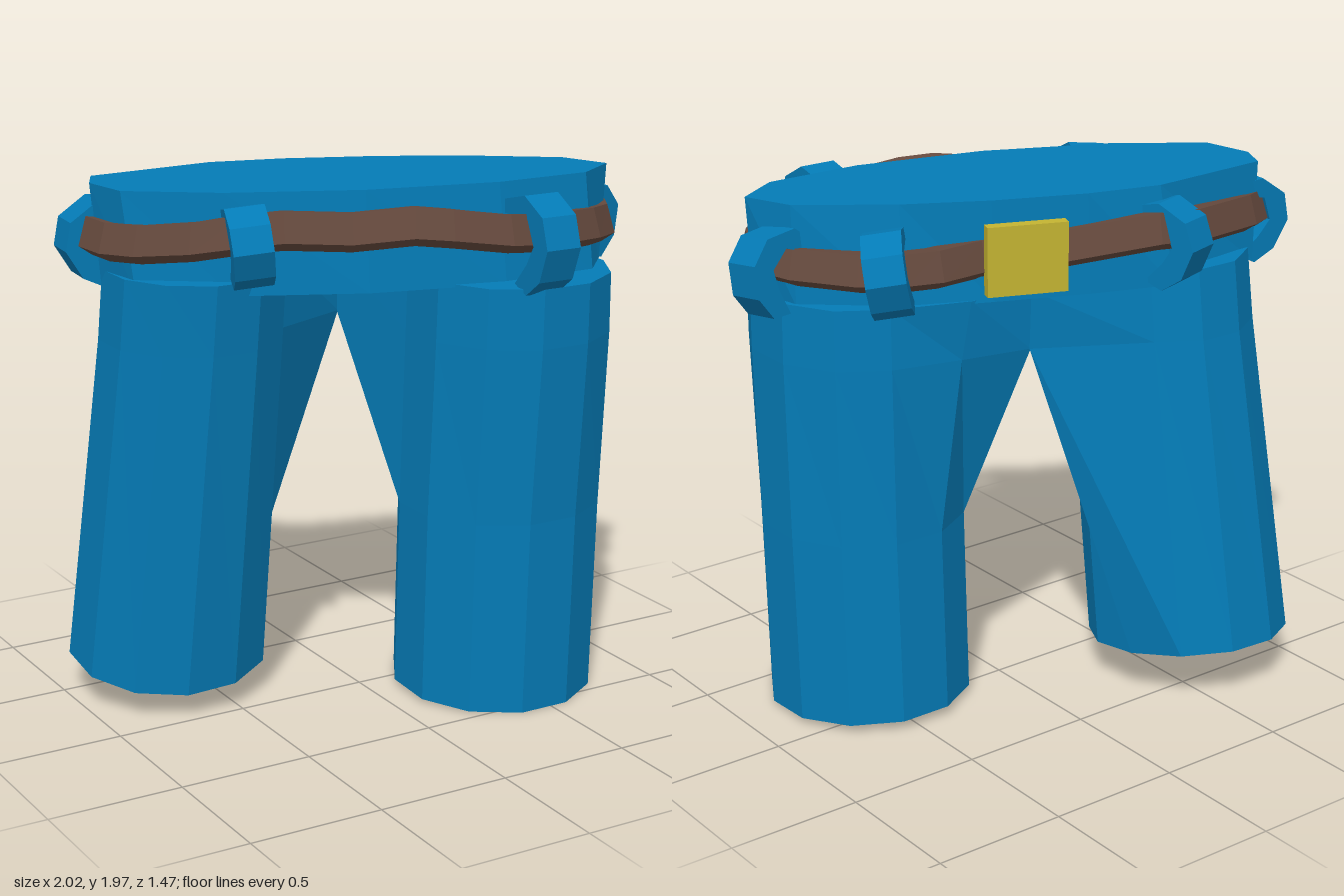
import * as THREE from 'three';

const mat = (color) => new THREE.MeshStandardMaterial({ color, flatShading: true });

// Skin a series of equal-length rings; cap the ends, or join last to first.
function loft(rings, closed = false) {
  const pos = [];
  const tri = (...pts) => pts.forEach((p) => pos.push(...p));
  const n = rings[0].length;
  const spans = closed ? rings.length : rings.length - 1;
  for (let k = 0; k < spans; k++) {
    const a = rings[k], b = rings[(k + 1) % rings.length];
    for (let i = 0; i < n; i++) {
      const j = (i + 1) % n;
      tri(a[i], b[i], b[j]);
      tri(a[i], b[j], a[j]);
    }
  }
  if (!closed) {
    const a = rings[0], b = rings[rings.length - 1];
    for (let i = 1; i < n - 1; i++) {
      tri(a[0], a[i], a[i + 1]);
      tri(b[0], b[i + 1], b[i]);
    }
  }
  const g = new THREE.BufferGeometry();
  g.setAttribute('position', new THREE.Float32BufferAttribute(pos, 3));
  g.computeVertexNormals();
  return g;
}

// Twelve-sided leg ring, tilted along x and z.
function legRing(cx, cy, cz, rx, rz, tiltX = 0, tiltZ = 0) {
  return Array.from({ length: 12 }, (_, i) => {
    const a = ((i + 0.5) / 12) * Math.PI * 2;
    const dx = rx * Math.cos(a), dz = rz * Math.sin(a);
    return [cx + dx, cy + tiltX * dx + tiltZ * dz, cz + dz];
  });
}

export function createModel() {
  const model = new THREE.Group();
  const blue = mat(0x047bb6), brown = mat(0x664a3e), yellow = mat(0xc4b432);
  const add = (name, geometry, material) => {
    const mesh = new THREE.Mesh(geometry, material);
    mesh.name = name;
    model.add(mesh);
    return mesh;
  };

  // Legs: inner corners of the upper rings are pulled back to the crotch
  const leftRings = [
    legRing(0.47, 0.022, 0.19, 0.38, 0.38, 0, -0.05),
    legRing(0.475, 0.74, 0.21, 0.38, 0.38),
    legRing(0.48, 1.4, 0.235, 0.375, 0.4),
    legRing(0.48, 1.62, 0.24, 0.37, 0.4),
  ];
  leftRings[2][7] = [0.055, 1.4, -0.26];
  leftRings[3][7] = [0.055, 1.62, -0.27];
  leftRings[2][8] = [0.32, 1.4, -0.21];
  leftRings[3][8] = [0.3, 1.62, -0.24];
  add('leftLeg', loft(leftRings), blue);

  const rightRings = [
    legRing(-0.62, 0.16, -0.38, 0.375, 0.38, 0.04, -0.16),
    legRing(-0.575, 1.4, -0.22, 0.335, 0.36),
    legRing(-0.57, 1.66, -0.19, 0.33, 0.36),
  ];
  rightRings[1][11] = [0.06, 1.4, -0.26];
  rightRings[2][11] = [0.06, 1.62, -0.27];
  add('rightLeg', loft(rightRings), blue);

  // Waist: skewed oval, slightly wider at the bottom
  const waistTop = [
    [0.87, 0.3], [0.7, 0.41], [0.33, 0.41], [-0.15, 0.3], [-0.6, 0.1], [-0.89, -0.11],
    [-0.92, -0.3], [-0.86, -0.42], [-0.37, -0.45], [-0.1, -0.38], [0.22, -0.25],
    [0.5, -0.1], [0.8, 0.12],
  ];
  const waistBottom = [
    [0.84, 0.31], [0.72, 0.44], [0.34, 0.45], [-0.15, 0.33], [-0.58, 0.13], [-0.86, -0.07],
    [-0.89, -0.29], [-0.83, -0.44], [-0.4, -0.5], [-0.1, -0.4], [0.22, -0.27],
    [0.52, -0.14], [0.8, 0.1],
  ];
  const level = (pts, y) => pts.map(([x, z]) => [x, y, z]);
  add('waist', loft([level(waistBottom, 1.61), level(waistTop, 1.97)]), blue);

  // Belt: slanted section swept around the outer edge points [x, y, z]
  const path = [
    [0.91, 1.77, 0.28], [0.85, 1.77, 0.39], [0.7, 1.79, 0.51], [0.46, 1.81, 0.61],
    [0.25, 1.83, 0.63], [0.04, 1.86, 0.58], [-0.08, 1.87, 0.52], [-0.27, 1.85, 0.42],
    [-0.48, 1.86, 0.32], [-0.62, 1.85, 0.27], [-0.78, 1.83, 0.19], [-0.9, 1.8, 0],
    [-0.96, 1.79, -0.15], [-0.97, 1.79, -0.31], [-0.91, 1.79, -0.43], [-0.8, 1.8, -0.49],
    [-0.48, 1.82, -0.57], [-0.3, 1.83, -0.55], [0.05, 1.79, -0.4], [0.27, 1.77, -0.28],
    [0.45, 1.77, -0.29], [0.58, 1.77, -0.25], [0.7, 1.76, -0.13], [0.84, 1.76, 0.08],
  ];
  const section = [[-0.03, 0.065], [0, -0.04], [-0.05, -0.075], [-0.125, 0.05]];
  const beltRings = path.map(([x, y, z], i) => {
    const p = path[(i + path.length - 1) % path.length], q = path[(i + 1) % path.length];
    const tx = q[0] - p[0], tz = q[2] - p[2], len = Math.hypot(tx, tz);
    return section.map(([o, h]) => [x + (o * tz) / len, y + h, z - (o * tx) / len]);
  });
  add('belt', loft(beltRings, true), brown);

  // Belt loops: bent straps, [x, y, z, outward x, outward z, lean, tip in, height]
  const strap = new THREE.Shape([
    [-0.14, 0.14], [-0.02, 0.17], [0.09, 0.11], [0.125, 0], [0.08, -0.12], [0, -0.18],
    [-0.07, -0.15], [0, -0.07], [0.04, 0], [0, 0.09], [-0.14, 0.09],
  ].map(([x, y]) => new THREE.Vector2(x, y)));
  const loopGeometry = new THREE.ExtrudeGeometry(strap, { depth: 0.14, bevelEnabled: false });
  loopGeometry.translate(0, 0, -0.07);
  [
    [0.39, 1.78, 0.6, 0, 1, 0, 0, 1],
    [-0.585, 1.81, 0.26, -0.35, 0.94, 0.1, 0, 0.8],
    [-0.885, 1.75, -0.36, -1, -0.1, 0, -0.15, 0.9],
    [-0.39, 1.77, -0.5, -0.3, -0.95, 0, 0, 0.9],
    [0.63, 1.77, -0.21, 0.6, -0.8, 0.15, 0, 0.85],
    [0.88, 1.75, 0.14, 1, -0.15, 0.1, 0.35, 0.9],
  ].forEach(([x, y, z, dx, dz, lean, tip, height], i) => {
    const loop = add(`beltLoop${i + 1}`, loopGeometry, blue);
    loop.position.set(x, y, z);
    loop.rotation.set(lean, -Math.atan2(dz, dx), tip, 'YXZ');
    loop.scale.y = height;
  });

  // Buckle plate
  const buckle = add('buckle', new THREE.BoxGeometry(0.29, 0.25, 0.045), yellow);
  buckle.position.set(0.145, 1.775, -0.35);
  buckle.rotation.y = -0.37;

  return model;
}
